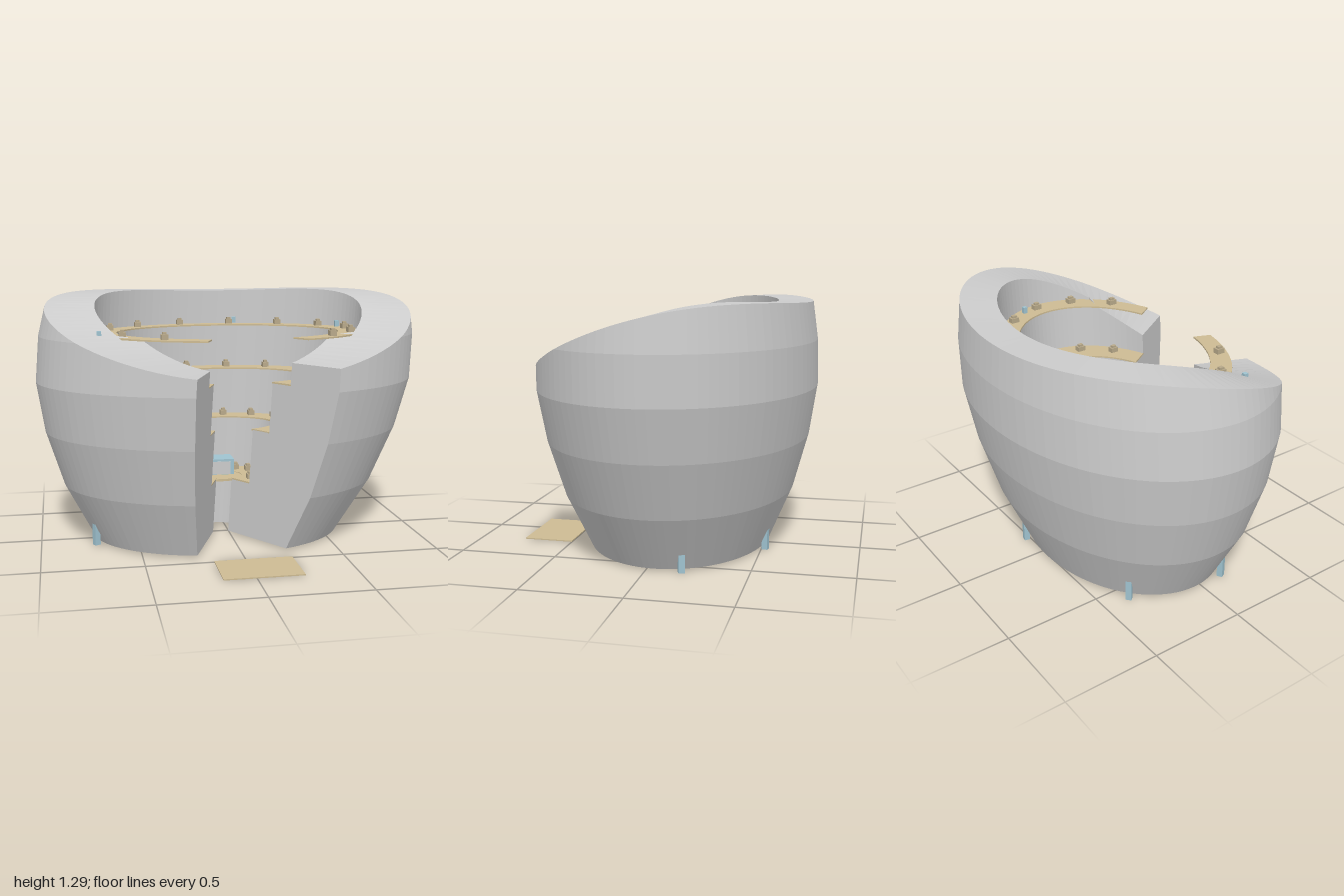
import * as THREE from 'three';

const RATIO = 0.72, CZ = -0.04;              // oval proportion and centre
const T0 = Math.PI * 26 / 180, T1 = Math.PI * 344.8 / 180; // wall ends either side of the entrance
const WALL = [[0.01, 0.66], [0.3, 0.83], [0.59, 0.94], [0.84, 0.995], [1.08, 0.99], [1.3, 0.95]];

// centre of the oval drifts sideways with height
const centreX = y => -0.06 + 0.063 * y;
const onOval = (t, r, y) => new THREE.Vector3(
  centreX(y) + r * Math.sin(t), y, CZ + r * RATIO * Math.cos(t));

// height of the slanted rim and radius of the bulging wall
function rimHeight(t) {
  const u = Math.cos(t);
  return 1.225 - 0.18 * u - 0.13 * u * u;
}
function wallRadius(y) {
  let i = 0;
  while (i < WALL.length - 2 && y > WALL[i + 1][0]) i++;
  const [y0, r0] = WALL[i], [y1, r1] = WALL[i + 1];
  return r0 + (r1 - r0) * (y - y0) / (y1 - y0);
}

// solid swept round the oval; levels(t) lists [y, outer radius, inner radius] upwards
function sweep(levels, t0, t1, segments, capped = true) {
  const pos = [];
  const tri = (a, b, c) => {
    const n = b.clone().sub(a).cross(c.clone().sub(a));
    if (n.length() > 1e-9) pos.push(...a, ...b, ...c);
  };
  const quad = (a, b, c, d) => { tri(a, b, c); tri(a, c, d); };
  const section = t => {
    const l = levels(t);
    return [...l.map(([y, o]) => onOval(t, o, y)),
      ...l.slice().reverse().map(([y, , i]) => onOval(t, i, y))];
  };
  let prev = section(t0);
  const first = prev, n = prev.length;
  for (let s = 1; s <= segments; s++) {
    const next = section(t0 + (t1 - t0) * s / segments);
    for (let i = 0; i < n; i++) {
      const j = (i + 1) % n;
      quad(prev[i], next[i], next[j], prev[j]);
    }
    prev = next;
  }
  if (capped) {
    for (let i = 0; i < n / 2 - 1; i++) {
      const k = n - 1 - i;
      quad(first[k], first[i], first[i + 1], first[k - 1]);
      quad(prev[i], prev[k], prev[k - 1], prev[i + 1]);
    }
  }
  const g = new THREE.BufferGeometry();
  g.setAttribute('position', new THREE.Float32BufferAttribute(pos, 3));
  g.computeVertexNormals();
  return g;
}

export function createModel() {
  const model = new THREE.Group();
  const grey = new THREE.MeshStandardMaterial({ color: 0xcccccc, flatShading: true });
  const tan = new THREE.MeshStandardMaterial({ color: 0xcdbb93 });
  const seatMat = new THREE.MeshStandardMaterial({ color: 0xb8a98a });
  const teal = new THREE.MeshStandardMaterial({ color: 0x9fc3d0 });
  const add = (name, geo, mat, p, parent = model) => {
    const m = new THREE.Mesh(geo, mat);
    m.name = name;
    if (p) m.position.copy(p);
    parent.add(m);
    return m;
  };

  // bowl wall: bulging outside, stepped inside, slanted rim on top
  const steps = [[0.01, 0.12], [0.3, 0.12], [0.3, 0.29], [0.585, 0.29], [0.585, 0.44],
    [0.845, 0.44], [0.845, 0.595], [1.08, 0.595], [1.08, 0.71], [2, 0.71]];
  const bowl = t => {
    const h = rimHeight(t);
    return steps.map(([y, r]) => {
      const yy = Math.min(y, h);
      return [yy, wallRadius(yy), h < 1.08 ? Math.min(r, 0.595) : r];
    });
  };
  add('bowlWall', sweep(bowl, T0, T1, 88), grey);

  // tier floors with their rows of seats
  const tiers = [[0.305, 0.12, 0.29, 0.205], [0.59, 0.28, 0.445, 0.37],
    [0.85, 0.435, 0.6, 0.53], [1.086, 0.59, 0.715, 0.66]];
  const seatGeo = new THREE.BoxGeometry(0.034, 0.026, 0.044);
  const backGeo = new THREE.BoxGeometry(0.02, 0.012, 0.026);
  tiers.forEach(([y, inner, outer, row], k) => {
    const floor = () => [[y - 0.008, outer, inner], [y, outer, inner]];
    add('tierFloor' + (k + 1), sweep(floor, T0, T1, 72), tan);
    const seats = new THREE.Group();
    seats.name = 'seatRow' + (k + 1);
    model.add(seats);
    for (let i = 0; i < 12; i++) {
      const t = THREE.MathUtils.degToRad(46 + 25.3 * i);
      const p = onOval(t, row, y);
      add('seat', seatGeo, seatMat, p.clone().setY(y + 0.013), seats);
      add('seatTop', backGeo, seatMat, p.clone().setY(y + 0.031), seats);
    }
  });

  // round floor closing the central shaft
  const disc = () => [[0.29, 0.125, 0], [0.302, 0.125, 0]];
  add('centreFloor', sweep(disc, 0, Math.PI * 2, 32, false), tan);

  // stage block with a pale front panel
  add('stageBlock', new THREE.BoxGeometry(0.16, 0.085, 0.12), teal, new THREE.Vector3(-0.04, 0.347, -0.1));
  add('stagePanel', new THREE.BoxGeometry(0.13, 0.07, 0.004), grey, new THREE.Vector3(-0.045, 0.342, -0.039));

  // small marker posts on the top tier
  for (const [x, z] of [[0.645, -0.18], [0.13, -0.545], [-0.685, 0.24]]) {
    add('markerPost', new THREE.BoxGeometry(0.022, 0.034, 0.022), teal, new THREE.Vector3(x, 1.105, z));
  }

  // narrow fins leaning out of the foot of the wall
  for (const deg of [106, 163, 230, 290]) {
    const t = THREE.MathUtils.degToRad(deg);
    const fin = add('baseFin', new THREE.BoxGeometry(0.03, 0.2, 0.03), teal, onOval(t, 0.7, 0).setY(0.105));
    fin.rotation.y = Math.atan2(Math.sin(t) * RATIO, Math.cos(t));
  }

  // entrance slab
  add('entranceSlab', new THREE.BoxGeometry(0.395, 0.006, 0.26), tan, new THREE.Vector3(0.037, 0.003, 0.63));
  return model;
}
